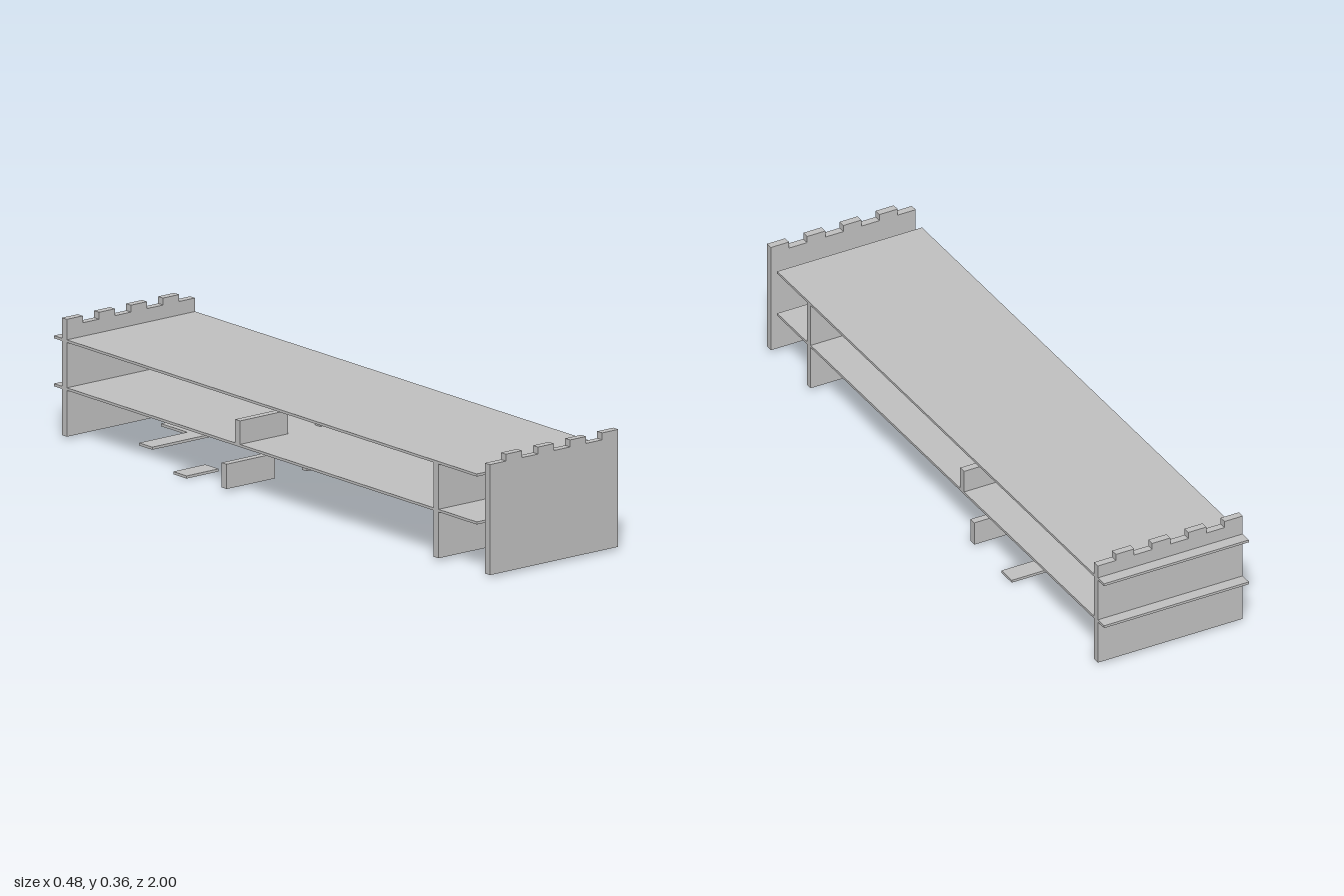
import * as THREE from 'three';

export function createModel() {
  const model = new THREE.Group();
  const grey = new THREE.MeshStandardMaterial({ color: 0xc0c0c0 });
  grey.name = 'plainGrey';

  const HALF = 0.242;        // half width
  const SLOT = HALF / 4;     // width of one merlon or gap
  const WALL = 0.023;        // wall thickness
  const SHEET = 0.008;       // shelf and floor plate thickness

  const add = (name, geometry) => {
    const mesh = new THREE.Mesh(geometry, grey);
    mesh.name = name;
    model.add(mesh);
    return mesh;
  };

  // box given by its extents on each axis
  const box = (name, x0, x1, y0, y1, z0, z1) => {
    const mesh = add(name, new THREE.BoxGeometry(x1 - x0, y1 - y0, z1 - z0));
    mesh.position.set((x0 + x1) / 2, (y0 + y1) / 2, (z0 + z1) / 2);
  };

  // end wall with merlons in every second slot along its top
  const endWall = (name, z0, firstRaised) => {
    const top = 0.363, notch = 0.342;
    const shape = new THREE.Shape();
    shape.moveTo(HALF, SHEET);
    for (let i = 7; i >= 0; i--) {
      const y = (i % 2 === 0) === firstRaised ? top : notch;
      shape.lineTo(-HALF + (i + 1) * SLOT, y);
      shape.lineTo(-HALF + i * SLOT, y);
    }
    shape.lineTo(-HALF, SHEET);
    const geometry = new THREE.ExtrudeGeometry(shape, { depth: WALL, bevelEnabled: false });
    add(name, geometry).position.z = z0;
  };
  endWall('frontWall', 1 - WALL, false);
  endWall('backWall', -0.963, true);

  // long shelves
  box('lowerShelf', -HALF, HALF, 0.148, 0.148 + SHEET, -1, 0.94);
  box('upperShelf', -HALF, HALF, 0.293, 0.293 + SHEET, -1, 0.94);

  // full-width inner wall
  box('innerWall', -HALF, HALF, SHEET, 0.295, 0.741, 0.741 + WALL);

  // mirrored low partitions and side plates
  for (const side of [-1, 1]) {
    const pair = (name, inner, y0, y1, z0, z1) => {
      const a = side * inner, b = side * HALF;
      box(name, Math.min(a, b), Math.max(a, b), y0, y1, z0, z1);
    };
    pair('upperPartition', SLOT, 0.152, 0.227, -0.169, -0.169 + WALL);
    pair('lowerPartition', SLOT, SHEET, 0.083, -0.23, -0.23 + WALL);
    pair('sidePlate', 2 * SLOT, 0, SHEET, -0.452, -0.391);
  }

  // L-shaped floor plate
  const ell = new THREE.Shape();
  const z0 = 0.695, z1 = z0 + SLOT, z2 = z0 + 3 * SLOT;
  ell.moveTo(-2 * SLOT, z0);
  ell.lineTo(2 * SLOT, z0);
  ell.lineTo(2 * SLOT, z2);
  ell.lineTo(SLOT, z2);
  ell.lineTo(SLOT, z1);
  ell.lineTo(-2 * SLOT, z1);
  add('cornerPlate', new THREE.ExtrudeGeometry(ell, { depth: SHEET, bevelEnabled: false }).rotateX(-Math.PI / 2));

  // small step behind the front wall
  box('step', 0.15, 0.205, 0.106, 0.106 + SHEET, 0.88, 0.94);

  return model;
}
